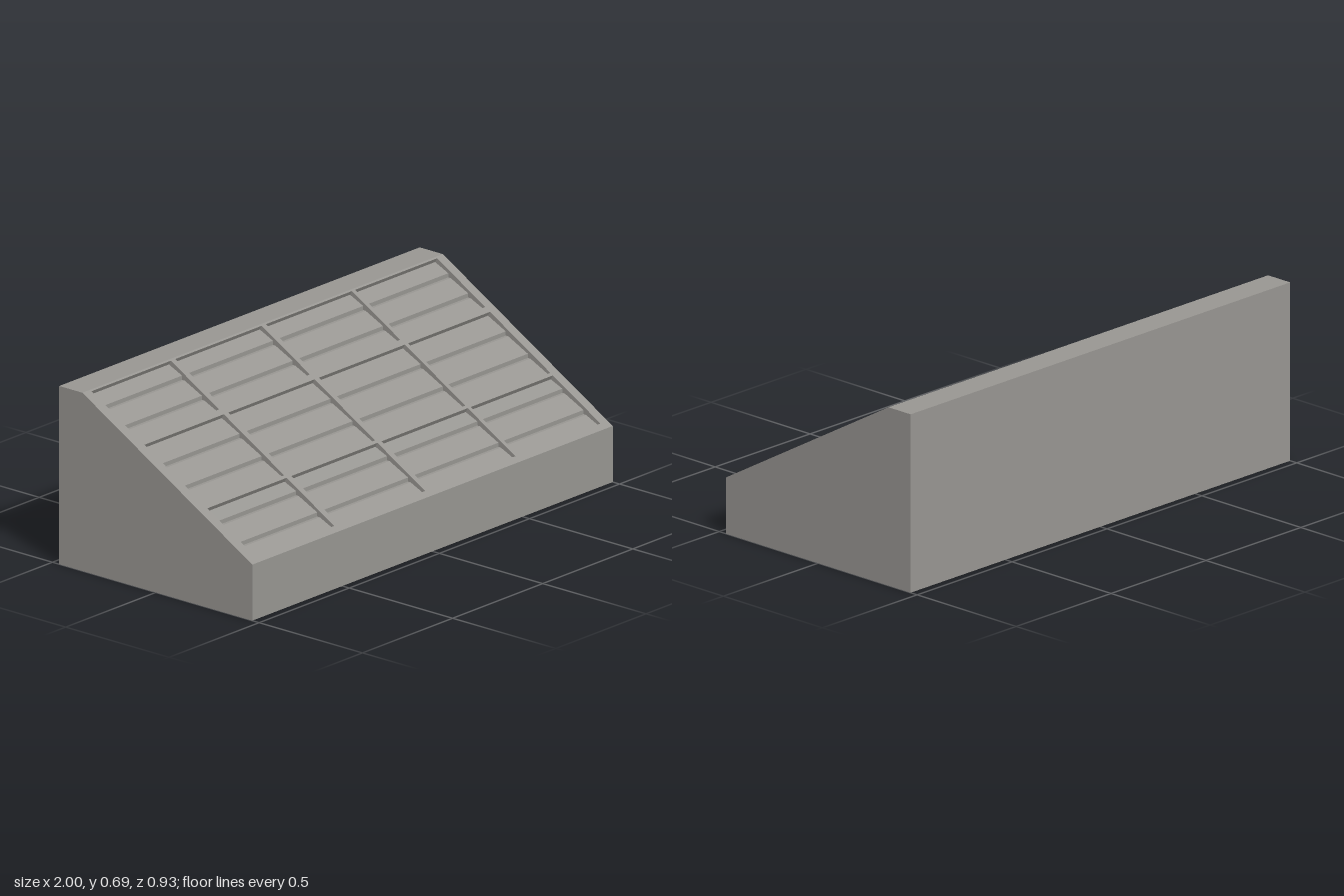
import * as THREE from 'three';

const FRONT = 0.467, LIP = 0.217, CREST_Z = -0.355, TOP = 0.69;
const SEAT = 0.03; // thickness of the pocket frame
const ANGLE = Math.atan2(TOP - LIP, FRONT - CREST_Z);
const SIN = Math.sin(ANGLE), COS = Math.cos(ANGLE);
const along = z => (FRONT - z) / COS; // distance up the slope from the front lip
const slopeY = z => LIP + (FRONT - z) * Math.tan(ANGLE);

// Pocket limits in x and z
const COLUMNS = [[-0.957, -0.517], [-0.492, -0.013], [0.01, 0.488], [0.505, 0.96]];
const ROWS = [[-0.348, -0.115], [-0.092, 0.2], [0.212, 0.442]];

// Risers of the stepped floor, from the back; the third and sixth lie under the rails
const STEPS = [-0.294, -0.198, -0.118, -0.016, 0.091, 0.19, 0.258, 0.36];
const LIP_DEPTH = 0.014, RISER = 0.016, TREAD = 0.012;

export function createModel() {
  const model = new THREE.Group();
  const material = new THREE.MeshStandardMaterial({ color: 0x989692, flatShading: true });
  const add = (parent, geometry, name) => {
    const mesh = new THREE.Mesh(geometry, material);
    mesh.name = name;
    parent.add(mesh);
  };

  // Side outline of [z, y] points, extruded across x
  const extrudeAcross = (outline, width) => {
    const shape = new THREE.Shape(outline.map(([z, y]) => new THREE.Vector2(-z, y)));
    return new THREE.ExtrudeGeometry(shape, { depth: width, bevelEnabled: false })
      .rotateY(Math.PI / 2).translate(-width / 2, 0, 0);
  };

  // Wedge body, with a shallow seat cut into the slope for the frame
  const s0 = along(0.452), s1 = along(CREST_Z) - 0.001;
  const slopePoint = (s, d) => [FRONT - s * COS - d * SIN, LIP + s * SIN - d * COS];
  add(model, extrudeAcross([
    [FRONT, 0], [FRONT, LIP],
    slopePoint(s0, 0), slopePoint(s0, SEAT), slopePoint(s1, SEAT), slopePoint(s1, 0),
    [CREST_Z, TOP], [-FRONT, TOP], [-FRONT, 0],
  ], 2), 'body');

  // Stepped floor seen through the pockets: level treads, upright risers, sloping boards
  const floor = [[-0.365, slopeY(-0.365) - 0.04], [-0.365, slopeY(-0.365) - 0.023]];
  for (const z of STEPS) {
    const y = slopeY(z) - LIP_DEPTH;
    floor.push([z, y], [z, y - RISER], [z + TREAD, y - RISER]);
  }
  floor.push([0.44, slopeY(0.44) - LIP_DEPTH], [0.44, slopeY(0.44) - 0.04]);
  add(model, extrudeAcross(floor, 1.94), 'steppedFloor');

  // Tilted panel: local y runs up the slope, local z points out of it
  const panel = new THREE.Group();
  panel.name = 'slopedPanel';
  panel.position.set(0, LIP, FRONT);
  panel.rotation.x = ANGLE - Math.PI / 2;
  model.add(panel);

  const rectangle = (PathType, x0, x1, y0, y1) => new PathType([
    [x0, y0], [x1, y0], [x1, y1], [x0, y1],
  ].map(p => new THREE.Vector2(...p)));

  // Frame with a grid of pockets
  const frame = rectangle(THREE.Shape, -1, 1, s0, s1);
  for (const [x0, x1] of COLUMNS) {
    for (const [back, front] of ROWS) {
      frame.holes.push(rectangle(THREE.Path, x0, x1, along(front), along(back)));
    }
  }
  const frameGeometry = new THREE.ExtrudeGeometry(frame, { depth: SEAT, bevelEnabled: false });
  add(panel, frameGeometry.translate(0, 0, -SEAT), 'pocketFrame');

  return model;
}
